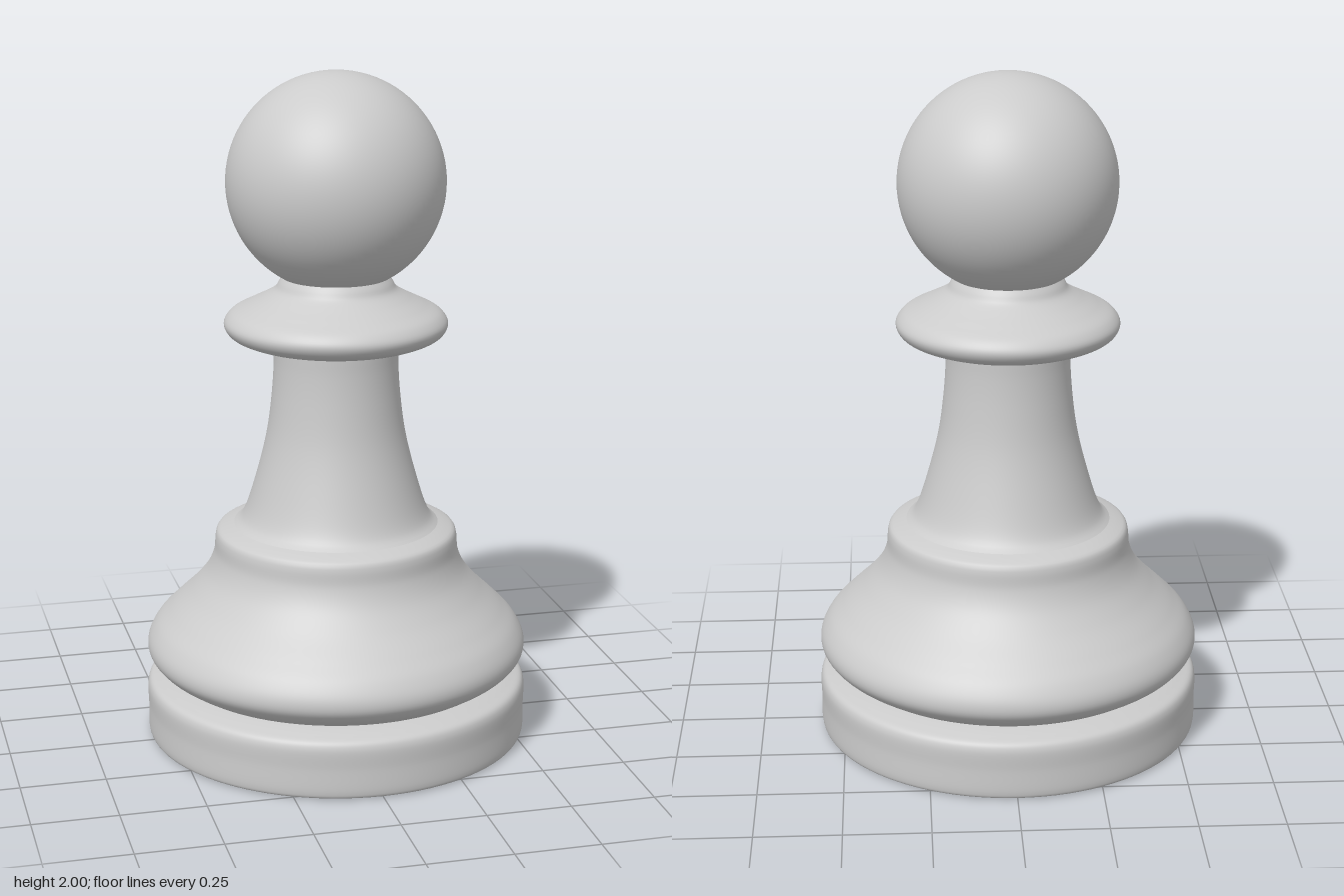
import * as THREE from 'three';

const SEGMENTS = 96;
const material = new THREE.MeshStandardMaterial({ color: 0xcccccc });

// Turned part: a smooth curve through [radius, height] points, bottom to top
function turned(name, profile, steps = 40) {
  const curve = new THREE.CatmullRomCurve3(
    profile.map(([r, y]) => new THREE.Vector3(r, y, 0)), false, 'centripetal');
  const points = curve.getSpacedPoints(steps).map(p => new THREE.Vector2(p.x, p.y));
  const mesh = new THREE.Mesh(new THREE.LatheGeometry(points, SEGMENTS), material);
  mesh.name = name;
  return mesh;
}

export function createModel() {
  const pawn = new THREE.Group();
  pawn.name = 'pawn';

  // Flat underside
  const underside = new THREE.Mesh(new THREE.CircleGeometry(0.555, SEGMENTS), material);
  underside.name = 'underside';
  underside.rotation.x = Math.PI / 2;
  pawn.add(underside);

  pawn.add(
    // Foot disc with softened edges and a groove above it
    turned('foot', [[0.555, 0], [0.567, 0.006], [0.571, 0.02], [0.571, 0.09], [0.571, 0.155],
      [0.562, 0.173], [0.535, 0.184], [0.505, 0.192], [0.49, 0.195]], 60),

    // Bulging base sweeping up to a small ledge
    turned('base', [[0.49, 0.195], [0.51, 0.207], [0.545, 0.232], [0.567, 0.262], [0.568, 0.295],
      [0.545, 0.34], [0.5, 0.387], [0.435, 0.45], [0.388, 0.51], [0.366, 0.565], [0.361, 0.615],
      [0.355, 0.633], [0.335, 0.643], [0.305, 0.653]], 70),

    // Flared stem
    turned('stem', [[0.305, 0.653], [0.288, 0.667], [0.272, 0.695], [0.238, 0.8], [0.206, 0.93],
      [0.19, 1.05], [0.184, 1.14], [0.184, 1.195]], 50),

    // Collar and neck
    turned('collar', [[0.184, 1.195], [0.22, 1.203], [0.275, 1.215], [0.317, 1.237], [0.329, 1.265],
      [0.312, 1.293], [0.265, 1.319], [0.215, 1.344], [0.178, 1.368], [0.166, 1.388], [0.15, 1.41]], 60),
  );

  // Ball head
  const head = new THREE.Mesh(new THREE.SphereGeometry(0.32, SEGMENTS, 48), material);
  head.name = 'head';
  head.position.y = 1.68;
  pawn.add(head);

  return pawn;
}
